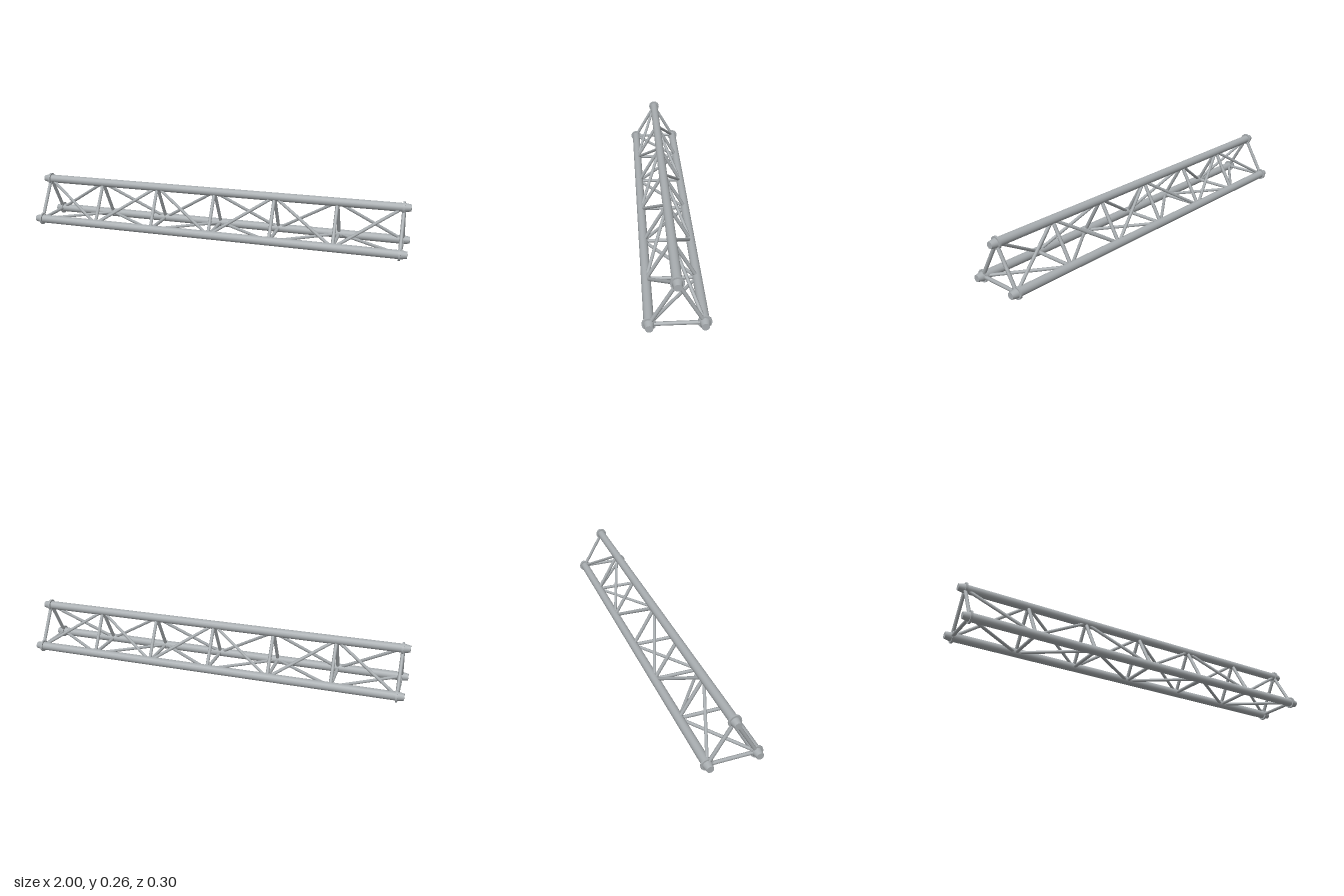
import * as THREE from 'three';

const material = new THREE.MeshStandardMaterial({ color: 0xa8adb0 });
const NODE_X = [-0.965, -0.643, -0.322, 0, 0.322, 0.643, 0.965];
// Chord centres as [y, z]: top, front, back
const CHORDS = [[0.233, 0], [0.031, 0.117], [0.031, -0.117]];
const CHORD_NAMES = ['top', 'front', 'back'];

// Straight round bar between two points
function bar(name, a, b, radiusA, radiusB = radiusA, sides = 8) {
  const dir = b.clone().sub(a);
  const mesh = new THREE.Mesh(new THREE.CylinderGeometry(radiusB, radiusA, dir.length(), sides), material);
  mesh.name = name;
  mesh.position.copy(a).add(b).multiplyScalar(0.5);
  mesh.quaternion.setFromUnitVectors(new THREE.Vector3(0, 1, 0), dir.normalize());
  return mesh;
}

export function createModel() {
  const model = new THREE.Group();
  model.name = 'triangularTruss';
  const point = (chord, x) => new THREE.Vector3(x, ...CHORDS[chord]);

  // Main tubes with a collar and a tapered spigot at each end
  CHORDS.forEach((_, c) => {
    const chord = new THREE.Group();
    chord.name = CHORD_NAMES[c] + 'Chord';
    chord.add(bar('tube', point(c, -0.972), point(c, 0.972), 0.022, 0.022, 16));
    for (const s of [-1, 1]) {
      chord.add(bar('collar', point(c, s * 0.959), point(c, s * 0.969), 0.031, 0.031, 12));
      chord.add(bar('spigot', point(c, s * 0.968), point(c, s), 0.023, 0.017, 16));
    }
    model.add(chord);
  });

  // Each face has cross bars at the nodes and a zigzag of diagonals
  CHORDS.forEach((_, c) => {
    const next = (c + 1) % 3;
    const face = new THREE.Group();
    face.name = ['front', 'bottom', 'back'][c] + 'Lacing';
    NODE_X.forEach((x, i) => {
      face.add(bar('crossBar', point(c, x), point(next, x), 0.009));
      if (i === NODE_X.length - 1) return;
      const [from, to] = i % 2 ? [next, c] : [c, next];
      face.add(bar('diagonal', point(from, x), point(to, NODE_X[i + 1]), 0.008));
    });
    model.add(face);
  });
  return model;
}
